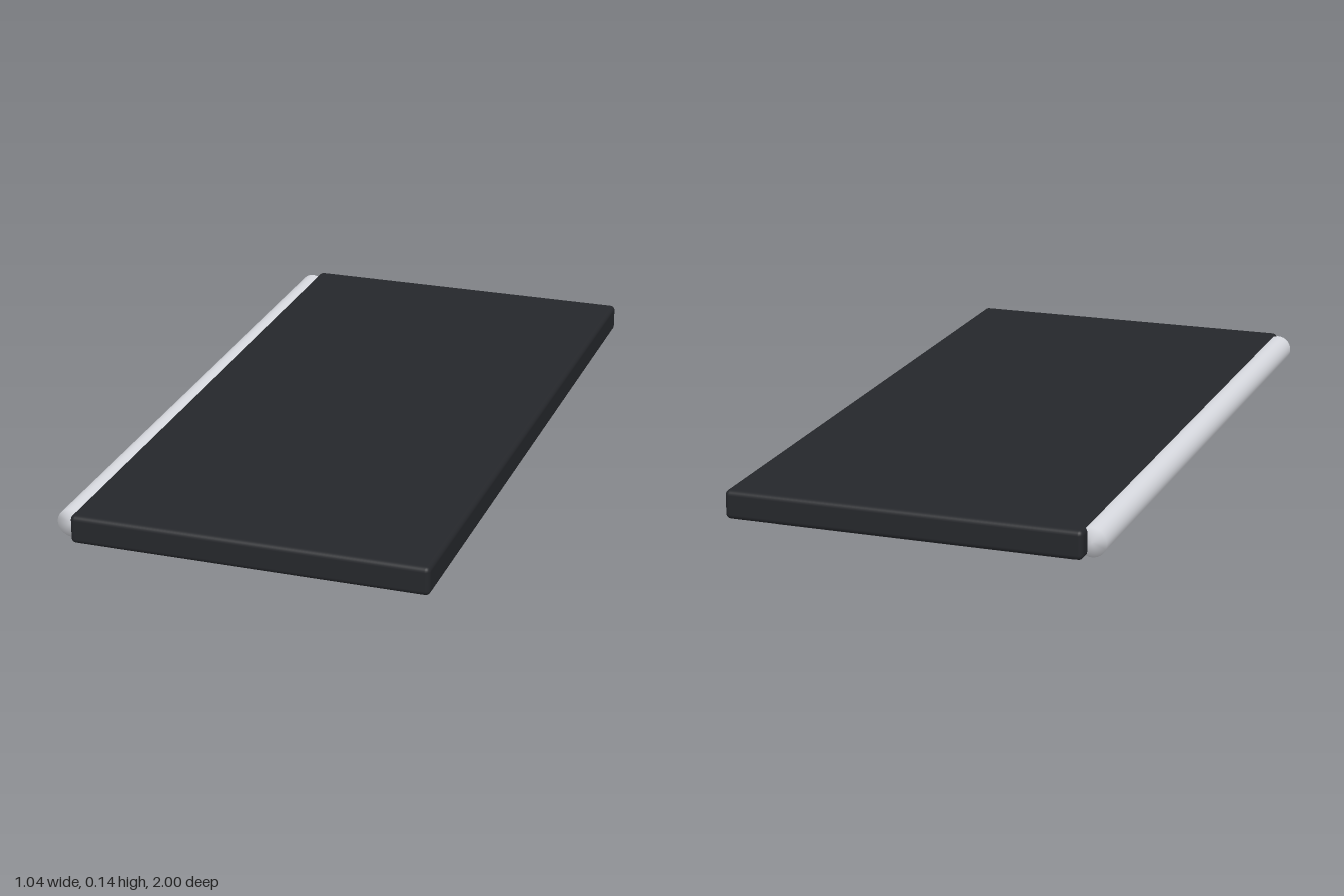
import * as THREE from 'three';
import { RoundedBoxGeometry } from 'three/addons/geometries/RoundedBoxGeometry.js';
import { mergeVertices } from 'three/addons/utils/BufferGeometryUtils.js';

const material = (color) => new THREE.MeshStandardMaterial({ color });

export function createModel() {
  const group = new THREE.Group();

  const add = (name, geometry, mat, x, y, z) => {
    const mesh = new THREE.Mesh(geometry, mat);
    mesh.name = name;
    mesh.position.set(x, y, z);
    group.add(mesh);
  };

  // Flat slab with softened edges
  add('slab', new RoundedBoxGeometry(0.99, 0.08, 2, 3, 0.014), material(0x25272b), 0.025, 0.102, 0);

  // Light rod along the right edge, its ends shaded smoothly into its side
  let rod = new THREE.CylinderGeometry(0.04, 0.04, 1.92, 32).rotateX(Math.PI / 2);
  rod.deleteAttribute('normal');
  rod.deleteAttribute('uv');
  rod = mergeVertices(rod);
  rod.computeVertexNormals();
  add('edgeRod', rod, material(0xd8dae0), -0.482, 0.102, 0);

  // Six cross ribs underneath
  const rib = new RoundedBoxGeometry(0.86, 0.062, 0.06, 2, 0.012);
  const ribMaterial = material(0x42444b);
  for (let i = 0; i < 6; i++) {
    add(`crossRib${i + 1}`, rib, ribMaterial, 0.025, 0.031, (i - 2.5) * 0.324);
  }

  return group;
}
